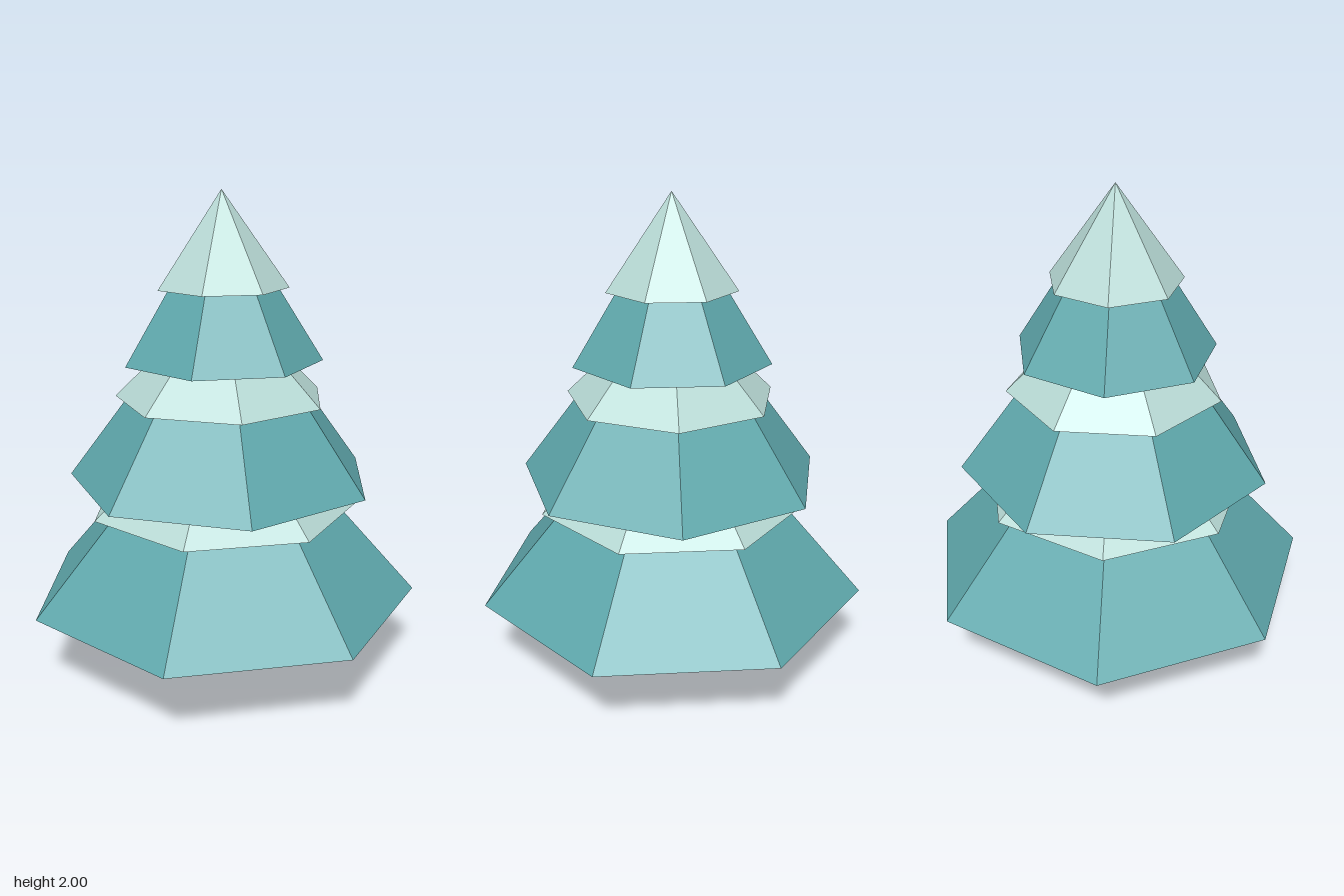
import * as THREE from 'three';

const AXIS_X = -0.04; // the tree stands slightly off the middle of its bounding box

// Faceted geometry: split vertices so every face gets its own normal
function faceted(geometry) {
  const flat = geometry.toNonIndexed();
  flat.computeVertexNormals();
  return flat;
}

// Solid prism or cone between two heights; turn is the angle of the first corner from +x towards +z
function solid(name, material, sides, radiusTop, radiusBottom, y0, y1, turn = 0) {
  const start = Math.PI / 2 - THREE.MathUtils.degToRad(turn);
  const geometry = new THREE.CylinderGeometry(
    radiusTop, radiusBottom, y1 - y0, sides, 1, false, start, Math.PI * 2);
  const mesh = new THREE.Mesh(faceted(geometry), material);
  mesh.name = name;
  mesh.position.set(AXIS_X, (y0 + y1) / 2, 0);
  return mesh;
}

export function createModel() {
  const needles = new THREE.MeshStandardMaterial({ color: 0x5fa8ac });
  needles.name = 'teal needles';
  const snow = new THREE.MeshStandardMaterial({ color: 0xb8dad5 });
  snow.name = 'pale snow';
  const bark = new THREE.MeshStandardMaterial({ color: 0x5d2340 });
  bark.name = 'plum bark';

  const tree = new THREE.Group();
  tree.name = 'tree';

  // Hexagonal trunk
  tree.add(solid('trunk', bark, 6, 0.12, 0.12, 0, 0.33));

  // Seven-sided tiers: name, material, radius, base height, tip height, turn
  const tiers = [
    ['lowerBranches', needles, 0.82, 0.325, 1.257, 0],
    ['lowerSnow', snow, 0.56, 0.71, 1.215, 0],
    ['middleBranches', needles, 0.64, 0.828, 1.69, 180.9],
    ['middleSnow', snow, 0.44, 1.17, 1.6, 180.9],
    ['upperBranches', needles, 0.41, 1.328, 1.98, 0.9],
    ['topSnow', snow, 0.27, 1.62, 2, 0.9],
  ];
  for (const [name, material, radius, y0, y1, turn] of tiers) {
    tree.add(solid(name, material, 7, 0, radius, y0, y1, turn));
  }
  return tree;
}
